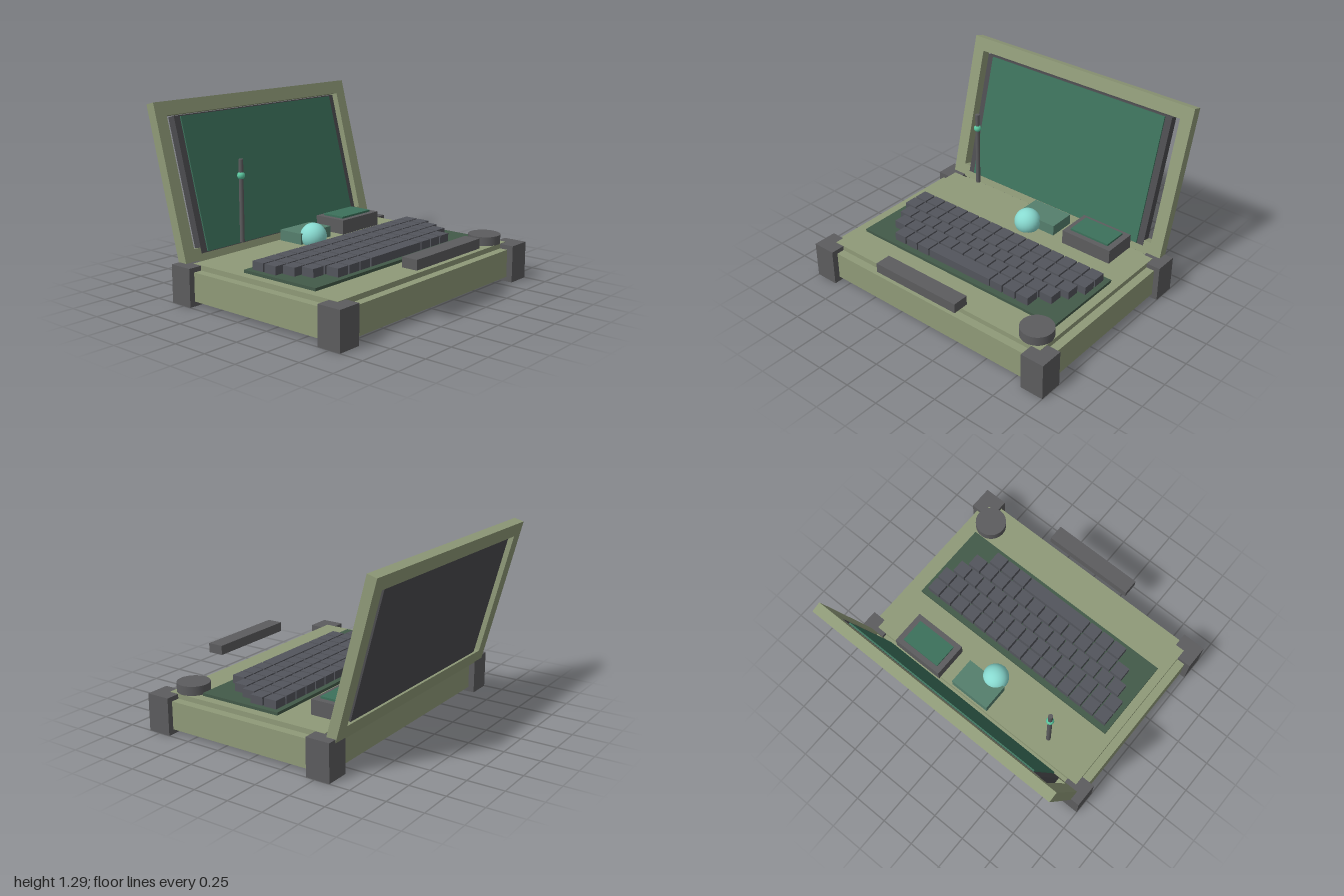
import * as THREE from 'three';

const paint = (color) => new THREE.MeshStandardMaterial({ color });

export function createModel() {
  const model = new THREE.Group();
  const olive = paint(0x8f9a78);
  const grey = paint(0x5c5c5e);
  const keyGrey = paint(0x53555c);
  const plateGreen = paint(0x435a49);
  const screenGreen = paint(0x3c715b);
  const boxTeal = paint(0x557f6d);
  const aqua = paint(0x88dad0);
  const mint = paint(0x5cc8a0);

  const add = (parent, name, geometry, material, x = 0, y = 0, z = 0) => {
    const mesh = new THREE.Mesh(geometry, material);
    mesh.name = name;
    mesh.position.set(x, y, z);
    parent.add(mesh);
    return mesh;
  };
  // Box given by its limits on each axis
  const block = (parent, name, material, [x0, x1], [y0, y1], [z0, z1]) =>
    add(parent, name, new THREE.BoxGeometry(x1 - x0, y1 - y0, z1 - z0), material,
      (x0 + x1) / 2, (y0 + y1) / 2, (z0 + z1) / 2);

  // Case with a slightly raised deck
  block(model, 'caseBody', olive, [-0.96, 0.96], [0.033, 0.228], [-0.563, 0.79]);
  block(model, 'deck', olive, [-0.9, 0.9], [0.2, 0.263], [-0.507, 0.732]);

  // Corner bumpers
  for (const x of [-0.915, 0.915]) {
    for (const z of [-0.522, 0.749]) {
      add(model, 'cornerBumper', new THREE.BoxGeometry(0.17, 0.26, 0.17), grey, x, 0.13, z);
    }
  }

  // Keyboard: each row lists its key widths in units, centred on x = 0
  const keyboard = new THREE.Group();
  keyboard.name = 'keyboard';
  model.add(keyboard);
  block(keyboard, 'keyboardPlate', plateGreen, [-0.838, 0.838], [0.258, 0.283], [-0.104, 0.503]);
  const pitch = 0.1075;
  const gap = 0.012;
  const rows = [15, 15, 14, 13].map((n) => Array(n).fill(1));
  rows.push([1, 1, 1, 5, 1, 1, 1]);
  rows.forEach((row, r) => {
    let x = -row.reduce((sum, w) => sum + w, 0) * pitch / 2;
    for (const w of row) {
      add(keyboard, w > 1 ? 'spaceBar' : 'key',
        new THREE.BoxGeometry(w * pitch - gap, 0.058, 0.095), keyGrey,
        x + w * pitch / 2, 0.311, -0.018 + r * 0.108);
      x += w * pitch;
    }
  });

  // Dial, front handle
  add(model, 'dial', new THREE.CylinderGeometry(0.112, 0.112, 0.063, 32), grey, 0.79, 0.294, 0.624);
  block(model, 'handle', grey, [-0.34, 0.34], [0.352, 0.419], [0.764, 0.878]);

  // Orb and the block behind it
  add(model, 'orb', new THREE.SphereGeometry(0.094, 24, 16), aqua, 0, 0.311, -0.272);
  block(model, 'orbBlock', boxTeal, [-0.1, 0.21], [0.26, 0.34], [-0.495, -0.298]);

  // Side display
  block(model, 'displayHousing', grey, [0.312, 0.705], [0.26, 0.366], [-0.522, -0.266]);
  block(model, 'displayScreen', screenGreen, [0.353, 0.661], [0.36, 0.38], [-0.485, -0.306]);

  // Antenna with its bead
  add(model, 'antennaRod', new THREE.CylinderGeometry(0.016, 0.016, 0.56, 12), grey, -0.567, 0.64, -0.395);
  add(model, 'antennaBead', new THREE.SphereGeometry(0.027, 12, 8), mint, -0.567, 0.81, -0.395);

  // Lid, leaning back about its lower front edge
  const lid = new THREE.Group();
  lid.name = 'lid';
  lid.position.set(0, 0.26, -0.541);
  lid.rotation.x = -0.26;
  model.add(lid);

  const rect = (shape, x, y0, y1) => shape.moveTo(-x, y0).lineTo(x, y0).lineTo(x, y1).lineTo(-x, y1).closePath();
  const outline = rect(new THREE.Shape(), 0.935, -0.012, 1.067);
  outline.holes.push(rect(new THREE.Path(), 0.845, 0.08, 0.973));
  add(lid, 'lidFrame', new THREE.ExtrudeGeometry(outline, { depth: 0.07, bevelEnabled: false }), olive, 0, 0, -0.07);
  block(lid, 'screenBacking', paint(0x4c4c4f), [-0.79, 0.79], [0.04, 0.964], [-0.055, 0.002]);
  block(lid, 'screen', screenGreen, [-0.74, 0.74], [0.045, 0.956], [0, 0.012]);

  return model;
}
